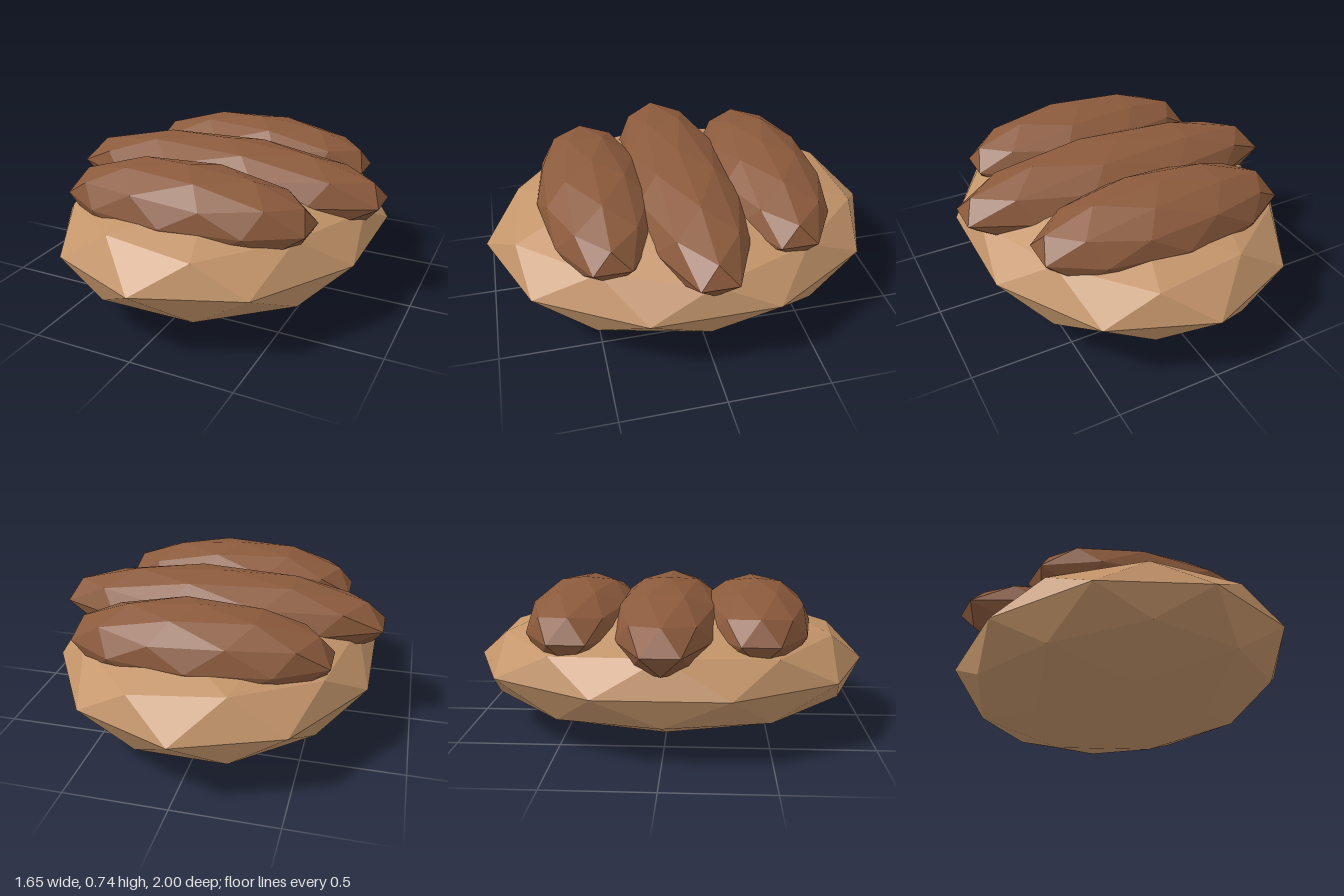
import * as THREE from 'three';

const bunTan = new THREE.MeshStandardMaterial({ color: 0xc4956a });
bunTan.name = 'bunTan';
const sausageBrown = new THREE.MeshStandardMaterial({ color: 0x8b5a3c });
sausageBrown.name = 'sausageBrown';

// Faceted ellipsoid: an icosphere with a corner turned straight up, then stretched
function facetedEllipsoid(name, material, [rx, ry, rz], [x, y, z]) {
  const goldenRatio = (1 + Math.sqrt(5)) / 2;
  const geometry = new THREE.IcosahedronGeometry(1, 1);
  geometry.rotateZ(-Math.atan(1 / goldenRatio));
  geometry.scale(rx, ry, rz);
  geometry.computeVertexNormals(); // unshared corners give flat facets
  const mesh = new THREE.Mesh(geometry, material);
  mesh.name = name;
  mesh.position.set(x, y, z);
  return mesh;
}

export function createModel() {
  const model = new THREE.Group();
  model.name = 'bunWithSausages';

  // Flattened bun
  model.add(facetedEllipsoid('bun', bunTan, [0.822, 0.32, 1], [0, 0.32, 0]));

  // Three sausages side by side, the middle one longest
  model.add(facetedEllipsoid('middleSausage', sausageBrown, [0.866, 0.214, 0.288], [0, 0.521, 0]));
  for (const [name, side] of [['frontSausage', 1], ['backSausage', -1]]) {
    model.add(facetedEllipsoid(name, sausageBrown, [0.65, 0.214, 0.288], [0, 0.521, side * 0.437]));
  }
  return model;
}
